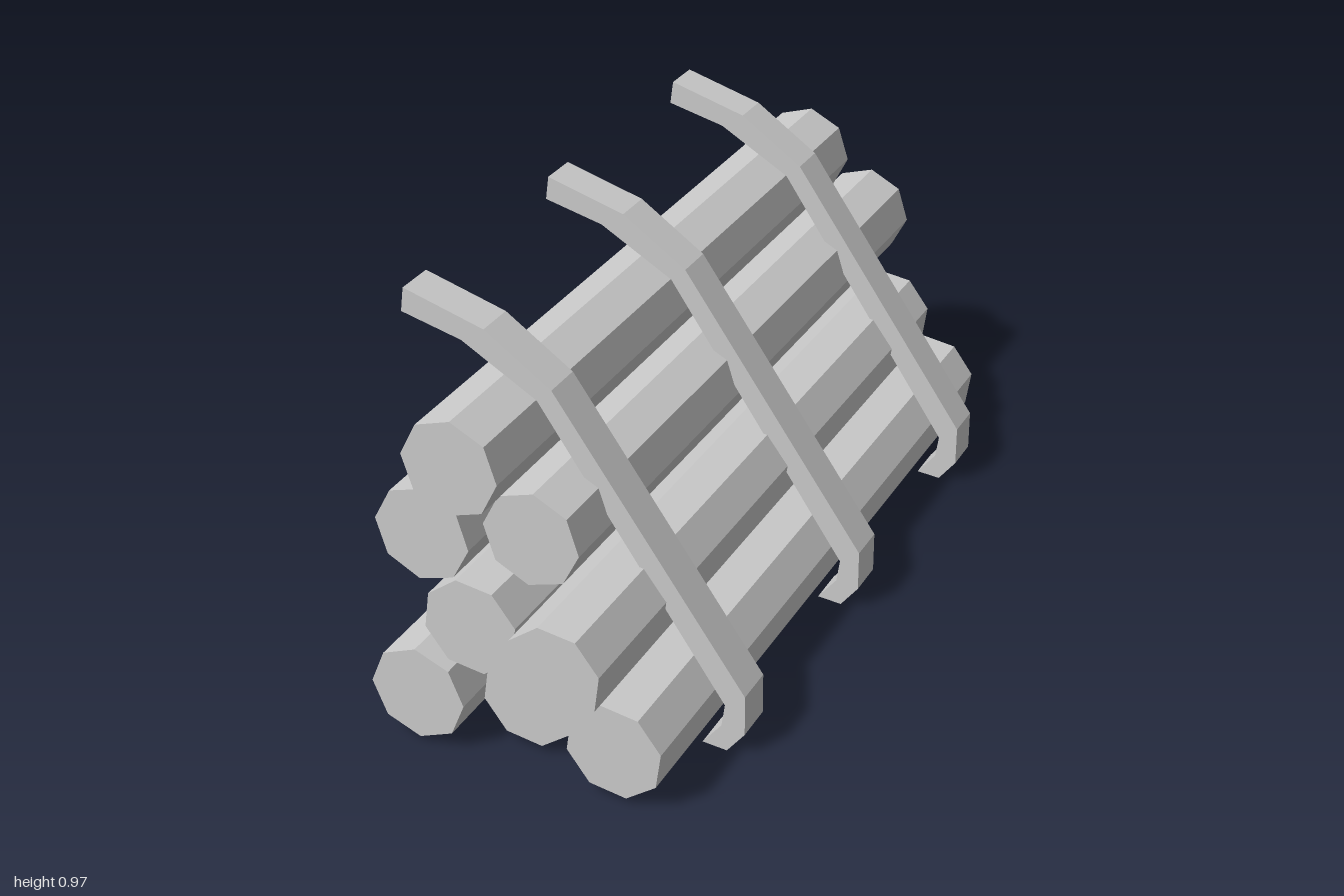
import * as THREE from 'three';

export function createModel() {
  const model = new THREE.Group();
  const material = new THREE.MeshStandardMaterial({ color: 0xcccccc, flatShading: true });

  // Eight-sided logs: centre x, centre y, back z, front z, roll in degrees
  const radius = 0.116;
  const logs = [
    [-0.26, 0.127, -0.88, 0.953, 0],
    [-0.027, 0.128, -0.96, 0.873, 14],
    [0.222, 0.127, -0.88, 0.953, 14],
    [-0.136, 0.318, -0.91, 0.922, 14.5],
    [0.106, 0.318, -0.834, 1, 14.5],
    [-0.267, 0.497, -0.95, 0.886, 39.5],
    [-0.029, 0.518, -1, 0.834, 40],
    [-0.174, 0.695, -0.925, 0.91, 40.5],
  ];
  const logPile = new THREE.Group();
  logPile.name = 'logPile';
  logs.forEach(([x, y, back, front, roll], i) => {
    const geometry = new THREE.CylinderGeometry(radius, radius, front - back, 8);
    geometry.rotateX(Math.PI / 2).rotateZ(THREE.MathUtils.degToRad(roll));
    const log = new THREE.Mesh(geometry, material);
    log.name = `log${i + 1}`;
    log.position.set(x, y, (back + front) / 2);
    logPile.add(log);
  });
  model.add(logPile);

  // Bent straps: one side profile extruded along z
  const profile = new THREE.Shape([
    [-0.401, 0.968], [-0.409, 0.91], [-0.263, 0.874], [-0.083, 0.77],
    [0.358, 0.12], [0.35, 0.064], [0.304, 0.005], [0.363, 0],
    [0.406, 0.056], [0.406, 0.156], [-0.047, 0.803], [-0.206, 0.912],
  ].map(([x, y]) => new THREE.Vector2(x, y)));
  const width = 0.094;
  const strapGeometry = new THREE.ExtrudeGeometry(profile, { depth: width, bevelEnabled: false });
  strapGeometry.translate(0, 0, -width / 2);
  const straps = new THREE.Group();
  straps.name = 'straps';
  [-0.632, 0.014, 0.646].forEach((z, i) => {
    const strap = new THREE.Mesh(strapGeometry, material);
    strap.name = `strap${i + 1}`;
    strap.position.z = z;
    straps.add(strap);
  });
  model.add(straps);

  return model;
}
